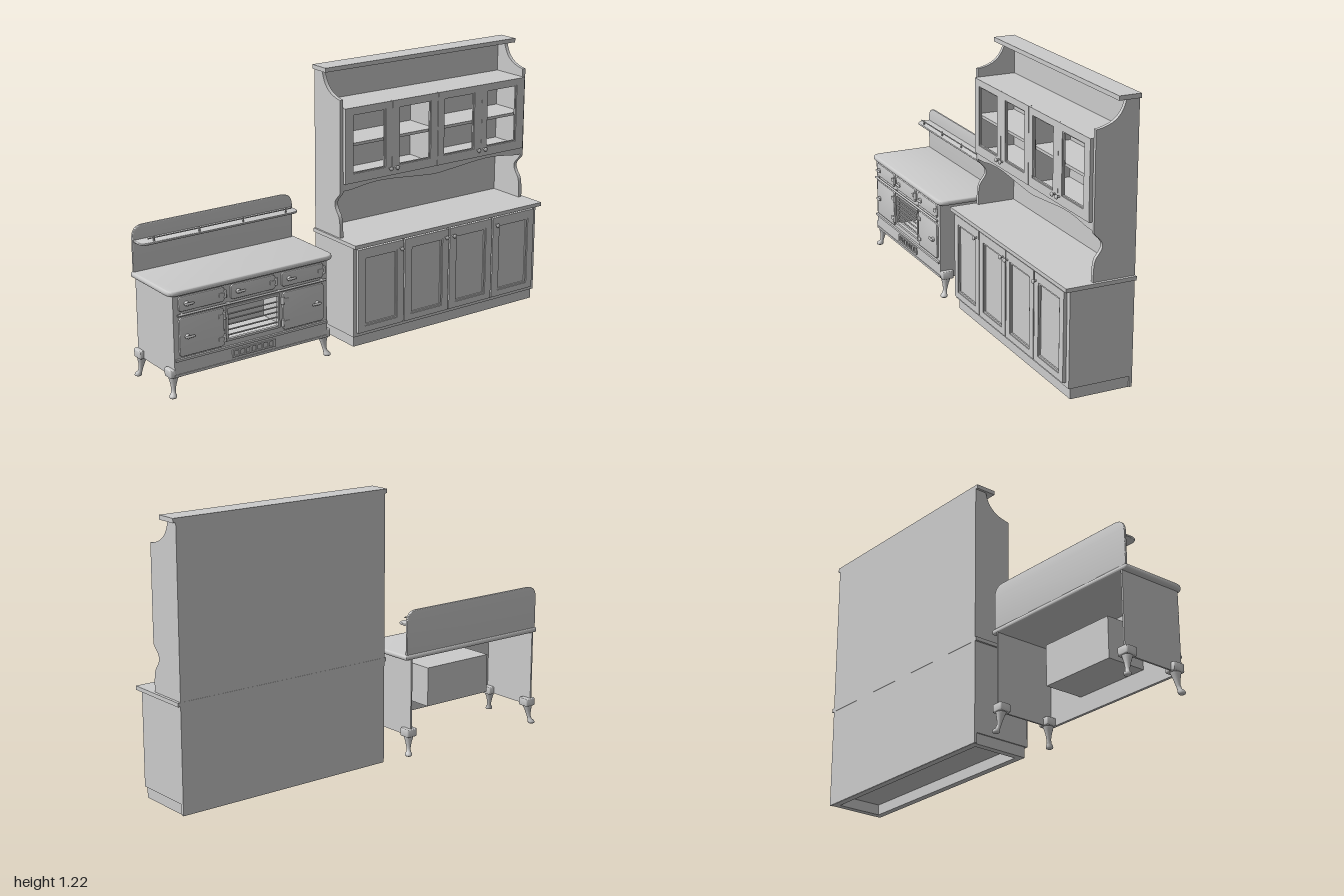
import * as THREE from 'three';
import { toCreasedNormals } from 'three/addons/utils/BufferGeometryUtils.js';

const mat = new THREE.MeshStandardMaterial({ color: 0xcccccc, side: THREE.DoubleSide });

function add(parent, name, geo, x = 0, y = 0, z = 0) {
  const m = new THREE.Mesh(geo, mat);
  m.name = name;
  m.position.set(x, y, z);
  parent.add(m);
  return m;
}
function box(parent, name, x0, x1, y0, y1, z0, z1) {
  return add(parent, name, new THREE.BoxGeometry(x1 - x0, y1 - y0, Math.abs(z1 - z0)),
    (x0 + x1) / 2, (y0 + y1) / 2, (z0 + z1) / 2);
}
// Rounded rectangle with one radius for each corner: a0b0, a1b0, a1b1, a0b1
function rect(a0, a1, b0, b1, r = [0, 0, 0, 0], Type = THREE.Shape) {
  const s = new Type();
  s.moveTo(a0 + r[0], b0);
  s.lineTo(a1 - r[1], b0);
  if (r[1]) s.quadraticCurveTo(a1, b0, a1, b0 + r[1]);
  s.lineTo(a1, b1 - r[2]);
  if (r[2]) s.quadraticCurveTo(a1, b1, a1 - r[2], b1);
  s.lineTo(a0 + r[3], b1);
  if (r[3]) s.quadraticCurveTo(a0, b1, a0, b1 - r[3]);
  s.lineTo(a0, b0 + r[0]);
  if (r[0]) s.quadraticCurveTo(a0, b0, a0 + r[0], b0);
  return s;
}
function extrude(shape, depth, bevel = 0) {
  return toCreasedNormals(new THREE.ExtrudeGeometry(shape, {
    depth: depth - 2 * bevel, bevelEnabled: bevel > 0, bevelSize: bevel, bevelOffset: -bevel,
    bevelThickness: bevel, bevelSegments: 3, curveSegments: 10,
  }).translate(0, 0, bevel), 0.6);
}
// Upright panel: shape drawn in (-z, y), thickness along x
const upright = (parent, name, shape, x0, x1, bevel) =>
  add(parent, name, extrude(shape, x1 - x0, bevel).rotateY(Math.PI / 2), x0);
// Flat slab: shape drawn in (x, -z), thickness along y
const slab = (parent, name, shape, y0, y1, bevel) =>
  add(parent, name, extrude(shape, y1 - y0, bevel).rotateX(-Math.PI / 2), 0, y0);

function frame(parent, name, x0, x1, z0, z1, y0, y1, h) {
  const s = rect(-z1, -z0, y0, y1);
  s.holes.push(rect(-h[1], -h[0], h[2], h[3], undefined, THREE.Path));
  return upright(parent, name, s, x0, x1);
}
function knob(parent, x, y, z) {
  const pts = [[0, 0.022], [0.007, 0.021], [0.01, 0.017], [0.009, 0.013], [0.004, 0.01], [0.004, 0]]
    .map(p => new THREE.Vector2(...p));
  add(parent, 'knob', new THREE.LatheGeometry(pts.reverse(), 14).rotateZ(-Math.PI / 2), x, y, z);
}

function dresser() {
  const g = new THREE.Group();
  g.name = 'dresser';
  const zL = 0.067, zR = -0.987, mid = -0.46;
  // Hollow plinth
  box(g, 'plinthFront', 0.095, 0.125, 0, 0.048, zR + 0.006, zL - 0.006);
  box(g, 'plinthBack', -0.15, -0.12, 0, 0.048, zR + 0.006, zL - 0.006);
  box(g, 'plinthSide', -0.12, 0.095, 0, 0.048, zL - 0.036, zL - 0.006);
  box(g, 'plinthSide', -0.12, 0.095, 0, 0.048, zR + 0.006, zR + 0.036);
  // Base cabinet and worktop
  box(g, 'baseCabinet', -0.15, 0.135, 0.048, 0.463, zR, zL);
  box(g, 'worktop', -0.154, 0.16, 0.463, 0.48, -1, 0.076);
  const pitch = 0.2555;
  const lowerKnobs = [-0.177, -0.432, -0.475, -0.732];
  const upperKnobs = [-0.19, -0.225, -0.694, -0.732];
  for (let i = 0; i < 4; i++) {
    // Base door: frame, stepped moulding, recessed panel
    const z1 = 0.052 - i * pitch, z0 = z1 - 0.249;
    frame(g, 'baseDoorFrame', 0.135, 0.15, z0, z1, 0.067, 0.453, [z0 + 0.035, z1 - 0.035, 0.095, 0.415]);
    frame(g, 'baseDoorMoulding', 0.135, 0.146, z0 + 0.035, z1 - 0.035, 0.095, 0.415,
      [z0 + 0.043, z1 - 0.043, 0.103, 0.407]);
    box(g, 'baseDoorPanel', 0.134, 0.14, 0.1, 0.41, z0 + 0.04, z1 - 0.04);
    knob(g, 0.149, 0.418, lowerKnobs[i]);
    // Upper open-framed door
    const u1 = 0.05 - i * 0.255 - (i > 1 ? 0.002 : 0), u0 = u1 - 0.2545;
    const w1 = 0.008 - i * 0.252;
    frame(g, 'upperDoor', 0.035, 0.05, u0, u1, 0.724, 1.06, [w1 - 0.177, w1, 0.765, 1.03]);
    frame(g, 'upperDoorBead', 0.038, 0.046, w1 - 0.178, w1 + 0.001, 0.764, 1.031,
      [w1 - 0.172, w1 - 0.005, 0.77, 1.025]);
    knob(g, 0.049, 0.758, upperKnobs[i]);
  }
  // Hutch back and shaped sides
  box(g, 'hutchBack', -0.153, -0.14, 0.001, 1.203, zR, zL);
  const side = new THREE.Shape();
  side.moveTo(-0.15, 0.48);
  side.lineTo(0.035, 0.48);
  side.bezierCurveTo(0.035, 0.6, 0.02, 0.57, -0.002, 0.615);
  side.bezierCurveTo(-0.015, 0.65, 0.03, 0.665, 0.035, 0.685);
  side.lineTo(0.035, 1.097);
  side.bezierCurveTo(-0.03, 1.105, -0.08, 1.13, -0.095, 1.203);
  side.lineTo(-0.15, 1.203);
  for (const z of [zL - 0.017, zR]) add(g, 'hutchSide', extrude(side, 0.017), 0, 0, z);
  box(g, 'cornice', -0.153, -0.055, 1.203, 1.222, -1, 0.078);
  // Upper cupboard
  box(g, 'cupboardTop', -0.14, 0.035, 1.045, 1.06, zR + 0.017, zL - 0.017);
  box(g, 'cupboardShelf', -0.14, 0.03, 0.883, 0.896, zR + 0.017, zL - 0.017);
  box(g, 'cupboardBottom', -0.14, 0.035, 0.72, 0.735, zR + 0.017, zL - 0.017);
  box(g, 'cupboardDivider', -0.14, 0.035, 0.735, 1.045, mid - 0.006, mid + 0.006);
  // Wavy valance
  const v = new THREE.Shape();
  v.moveTo(-0.05, 0.725);
  v.lineTo(-0.05, 0.69);
  v.splineThru([[0.0, 0.692], [0.1, 0.704], [0.2, 0.704], [0.36, 0.69], [0.46, 0.683], [0.56, 0.69],
    [0.72, 0.704], [0.82, 0.704], [0.92, 0.692], [0.97, 0.69]].map(p => new THREE.Vector2(...p)));
  v.lineTo(0.97, 0.725);
  upright(g, 'valance', v, 0.018, 0.035);
  return g;
}

// Cabriole leg: stacked rings drifting outwards to the foot
function leg(parent, x, z, sx, sz) {
  const rows = [[0.122, 0.024, 0], [0.095, 0.024, 0.001], [0.08, 0.02, 0.003], [0.06, 0.014, 0.005],
    [0.035, 0.0095, 0.008], [0.02, 0.01, 0.012], [0.012, 0.015, 0.017], [0.004, 0.016, 0.018], [0, 0.013, 0.018]];
  const n = 14, pos = [], idx = [];
  rows.forEach(([y, r, d], j) => {
    for (let i = 0; i < n; i++) {
      const a = i / n * Math.PI * 2;
      pos.push(sx * d + Math.cos(a) * r, y, sz * d * 0.8 + Math.sin(a) * r);
      if (j) {
        const p = (j - 1) * n + i, q = (j - 1) * n + (i + 1) % n;
        idx.push(p, q, p + n, q, q + n, p + n);
      }
    }
  });
  for (let i = 1; i < n - 1; i++) idx.push((rows.length - 1) * n, (rows.length - 1) * n + i, (rows.length - 1) * n + i + 1);
  const geo = new THREE.BufferGeometry();
  geo.setAttribute('position', new THREE.Float32BufferAttribute(pos, 3));
  geo.setIndex(idx);
  geo.computeVertexNormals();
  add(parent, 'leg', geo, x, 0, z);
  const r = 0.012;
  slab(parent, 'legBlock', rect(x - 0.029, x + 0.029, -z - 0.028, -z + 0.028, [r, r, r, r]), 0.088, 0.124, 0.004);
}

// Range door with latch and hinges; hingeSide is the z direction of the hinges
function rangeDoor(parent, z0, z1, y0, y1, hingeSide) {
  const r = 0.015;
  upright(parent, 'rangeDoor', rect(-z1, -z0, y0, y1, [r, r, r, r]), 0.143, 0.154, 0.003);
  const y = (y0 + y1) / 2, tall = y1 - y0 > 0.1;
  const hz = hingeSide > 0 ? z1 + 0.002 : z0 - 0.002;
  for (const k of tall ? [-0.05, 0.05] : [0]) {
    add(parent, 'hinge', new THREE.CylinderGeometry(0.007, 0.007, 0.032, 12), 0.153, y + k, hz);
    box(parent, 'hingeStrap', 0.15, 0.157, y + k - 0.008, y + k + 0.008, hz, hz - hingeSide * 0.03);
  }
  const lz = hingeSide > 0 ? z0 + 0.035 : z1 - 0.035;
  add(parent, 'latchBoss', new THREE.CylinderGeometry(0.009, 0.011, 0.014, 14).rotateZ(-Math.PI / 2), 0.159, y, lz);
  add(parent, 'latchLever', new THREE.CapsuleGeometry(0.005, 0.036, 4, 10).rotateX(Math.PI / 2),
    0.165, y, lz + hingeSide * 0.008);
}

function range() {
  const g = new THREE.Group();
  g.name = 'range';
  const zN = 0.975, zF = 0.218;
  // Open-backed body
  for (const z of [zN - 0.008, zF]) box(g, 'bodySide', -0.158, 0.135, 0.09, 0.447, z, z + 0.008);
  frame(g, 'bodyFront', 0.132, 0.145, zF, zN, 0.09, 0.447, [0.47, 0.72, 0.2, 0.338]);
  slab(g, 'hob', rect(-0.16, 0.162, -0.998, -0.186, [0.01, 0.045, 0.045, 0.01]), 0.444, 0.467, 0.008);
  // Firebox behind the opening, with grate bars
  const [a, b] = [0.41, 0.78];
  box(g, 'fireboxBack', -0.055, -0.05, 0.168, 0.35, a, b);
  box(g, 'fireboxFloor', -0.05, 0.133, 0.168, 0.174, a, b);
  box(g, 'fireboxRoof', -0.05, 0.133, 0.344, 0.35, a, b);
  for (const z of [a, b - 0.005]) box(g, 'fireboxSide', -0.05, 0.133, 0.174, 0.344, z, z + 0.005);
  frame(g, 'openingRim', 0.145, 0.15, 0.462, 0.728, 0.192, 0.346, [0.472, 0.718, 0.202, 0.336]);
  for (let i = 0; i < 5; i++)
    add(g, 'grateBar', new THREE.CylinderGeometry(0.0035, 0.0035, 0.25, 8).rotateX(Math.PI / 2), 0.138, 0.215 + i * 0.023, 0.595);
  // Doors
  for (const [z0, z1] of [[0.735, 0.952], [0.485, 0.705], [0.24, 0.453]]) rangeDoor(g, z0, z1, 0.373, 0.436, -1);
  rangeDoor(g, 0.74, 0.952, 0.178, 0.346, -1);
  rangeDoor(g, 0.24, 0.448, 0.178, 0.346, 1);
  // Latches sit on the far side of each hinge; rail, ledge and skirting run across
  add(g, 'towelRail', new THREE.CylinderGeometry(0.005, 0.005, 0.73, 10).rotateX(Math.PI / 2), 0.156, 0.36, 0.596);
  for (const z of [0.94, 0.72, 0.47, 0.25]) box(g, 'railBracket', 0.144, 0.156, 0.356, 0.364, z - 0.005, z + 0.005);
  box(g, 'ledge', 0.144, 0.155, 0.16, 0.17, zF + 0.004, zN - 0.004);
  box(g, 'skirting', 0.144, 0.148, 0.092, 0.102, zF, zN);
  // Vent with seven slots
  frame(g, 'ventRim', 0.144, 0.15, 0.486, 0.7, 0.113, 0.147, [0.492, 0.694, 0.119, 0.141]);
  for (let i = 0; i < 8; i++) {
    const z = 0.493 + i * 0.0286;
    box(g, 'ventBar', 0.144, 0.15, 0.118, 0.142, z - 0.004, z + 0.004);
  }
  // Splashback, shelf and guard rail
  upright(g, 'splashback', rect(-0.99, -0.198, 0.462, 0.667, [0, 0, 0.055, 0.055]), -0.154, -0.142, 0.003);
  slab(g, 'shelf', rect(-0.15, -0.074, -0.985, -0.205, [0, 0.035, 0.035, 0]), 0.595, 0.605, 0.003);
  add(g, 'guardRail', new THREE.CylinderGeometry(0.0028, 0.0028, 0.71, 8).rotateX(Math.PI / 2), -0.086, 0.62, 0.595);
  for (let i = 0; i < 4; i++)
    add(g, 'railPost', new THREE.CylinderGeometry(0.003, 0.004, 0.024, 8), -0.086, 0.615, 0.92 - i * 0.2167);
  // Legs
  for (const [x, sx] of [[-0.138, -1], [0.116, 1]])
    for (const [z, sz] of [[0.966, 1], [0.224, -1]]) leg(g, x, z, sx, sz);
  return g;
}

export function createModel() {
  const model = new THREE.Group();
  model.name = 'kitchenFurniture';
  model.add(dresser(), range());
  return model;
}
